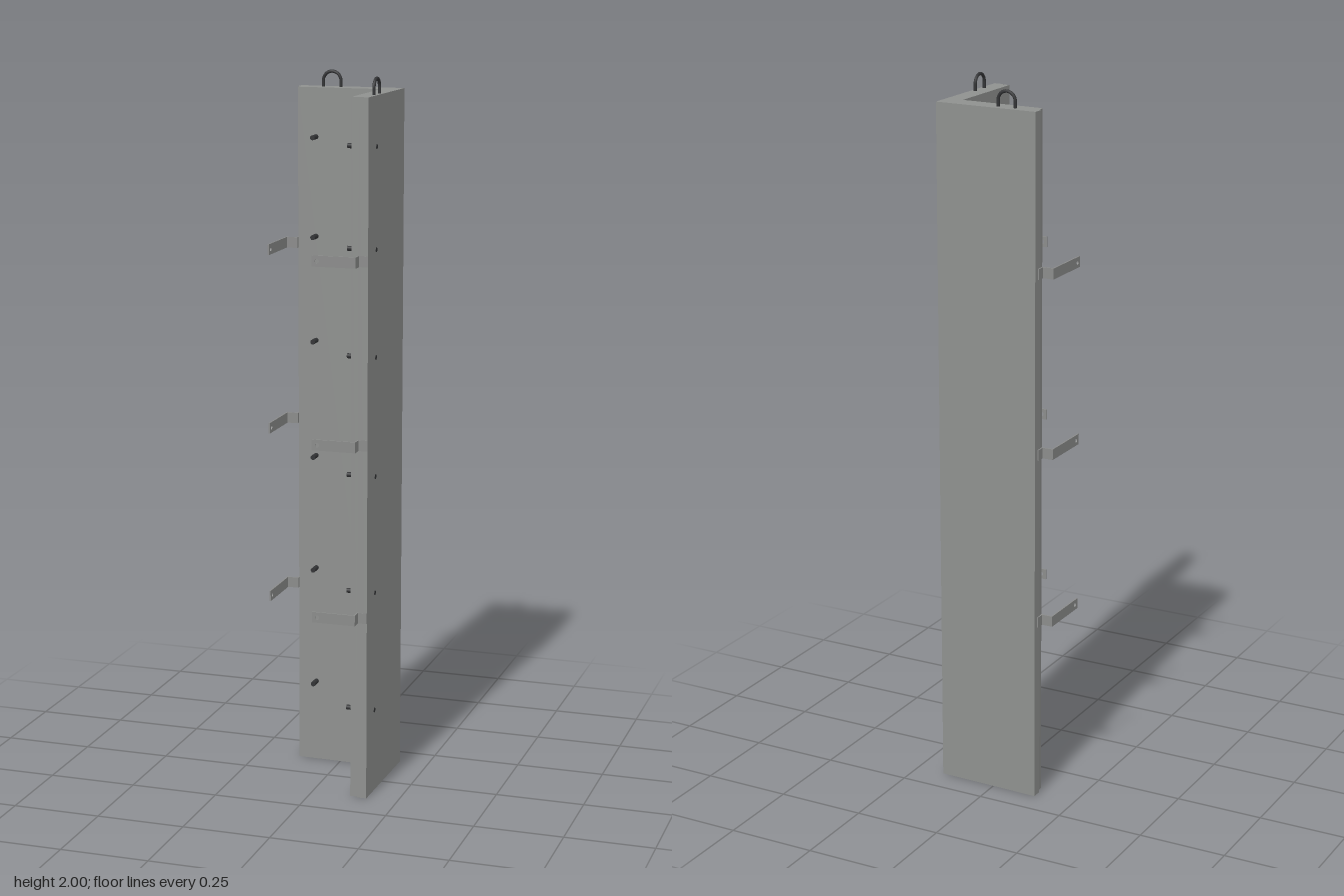
import * as THREE from 'three';

const concrete = new THREE.MeshStandardMaterial({ color: 0x8f918f });
concrete.name = 'concrete grey';
const steel = new THREE.MeshStandardMaterial({ color: 0x8b8c8b });
steel.name = 'bracket steel';
const dark = new THREE.MeshStandardMaterial({ color: 0x333436 });
dark.name = 'dark steel';

function add(parent, name, geometry, material, x = 0, y = 0, z = 0) {
  const mesh = new THREE.Mesh(geometry, material);
  mesh.name = name;
  mesh.position.set(x, y, z);
  parent.add(mesh);
  return mesh;
}

// Flat strip in the XY plane, from x = 0 to length, with a bolt hole near its end
function drilledStrip(length, height, thickness, holeX) {
  const s = new THREE.Shape();
  s.moveTo(0, -height / 2);
  s.lineTo(length, -height / 2);
  s.lineTo(length, height / 2);
  s.lineTo(0, height / 2);
  s.closePath();
  const hole = new THREE.Path();
  hole.absarc(holeX, 0, 0.006, 0, Math.PI * 2, true);
  s.holes.push(hole);
  return new THREE.ExtrudeGeometry(s, { depth: thickness, bevelEnabled: false, curveSegments: 8 })
    .translate(0, 0, -thickness / 2);
}

// U-shaped lifting loop standing on y = 0
function liftingLoop(name) {
  const g = new THREE.Group();
  g.name = name;
  const r = 0.0255, t = 0.0045, leg = 0.017;
  add(g, 'loopArch', new THREE.TorusGeometry(r, t, 10, 24, Math.PI), dark, 0, leg, 0);
  for (const s of [-1, 1]) {
    add(g, 'loopLeg', new THREE.CylinderGeometry(t, t, leg + 0.02, 10), dark, s * r, (leg - 0.02) / 2, 0);
  }
  return g;
}

export function createModel() {
  const model = new THREE.Group();
  model.name = 'cornerPanel';
  const height = 1.953;

  // L-shaped shell, outline given as x, z
  const outline = [
    [-0.134, -0.177], [0.166, -0.171], [0.161, 0.144], [0.134, 0.143], [0.133, 0.138],
    [0.112, 0.137], [0.115, -0.116], [-0.126, -0.122], [-0.128, -0.14], [-0.134, -0.148],
  ];
  const shape = new THREE.Shape(outline.map(([x, z]) => new THREE.Vector2(x, -z)));
  add(model, 'cornerShell',
    new THREE.ExtrudeGeometry(shape, { depth: height, bevelEnabled: false }).rotateX(-Math.PI / 2), concrete);

  // Lifting loops on the top edge of each wall
  const backLoop = liftingLoop('backLiftingLoop');
  backLoop.position.set(-0.037, height, -0.154);
  const sideLoop = liftingLoop('sideLiftingLoop');
  sideLoop.position.set(0.152, height, 0.043);
  sideLoop.rotation.y = Math.PI / 2;
  model.add(backLoop, sideLoop);

  // Rows of anchor pegs on the inner faces
  for (const y of [1.817, 1.54, 1.245, 0.912, 0.58, 0.238]) {
    for (const x of [-0.073, 0.048]) {
      add(model, 'backPeg', new THREE.CylinderGeometry(0.007, 0.007, 0.052, 12).rotateX(Math.PI / 2),
        dark, x, y, -0.114);
    }
    add(model, 'sidePeg', new THREE.CylinderGeometry(0.007, 0.007, 0.052, 12).rotateZ(Math.PI / 2),
      dark, 0.107, y, -0.059);
    // The front peg passes right through the wall
    add(model, 'throughPeg', new THREE.CylinderGeometry(0.007, 0.007, 0.082, 12).rotateZ(Math.PI / 2),
      dark, 0.122, y, 0.073);
  }

  // Stepped brackets on the free edge of each wall
  const t = 0.004, h = 0.03;
  for (const y of [1.517, 1.013, 0.525]) {
    const back = new THREE.Group();
    back.name = 'backBracket';
    back.position.y = y;
    add(back, 'bracketFoot', new THREE.BoxGeometry(t, h, 0.028), steel, -0.135, 0, -0.148);
    add(back, 'bracketStep', new THREE.BoxGeometry(0.034, h, t), steel, -0.15, 0, -0.136);
    add(back, 'bracketArm', drilledStrip(0.156, h, t, 0.141).rotateY(-Math.PI / 2), steel, -0.166, 0, -0.138);

    const side = new THREE.Group();
    side.name = 'sideBracket';
    side.position.y = y;
    add(side, 'bracketFoot', new THREE.BoxGeometry(0.028, h, t), steel, 0.147, 0, 0.143);
    add(side, 'bracketStep', new THREE.BoxGeometry(t, h, 0.032), steel, 0.134, 0, 0.158);
    add(side, 'bracketArm', drilledStrip(0.124, h, t, 0.015), steel, 0.012, 0, 0.173);
    model.add(back, side);
  }
  return model;
}
